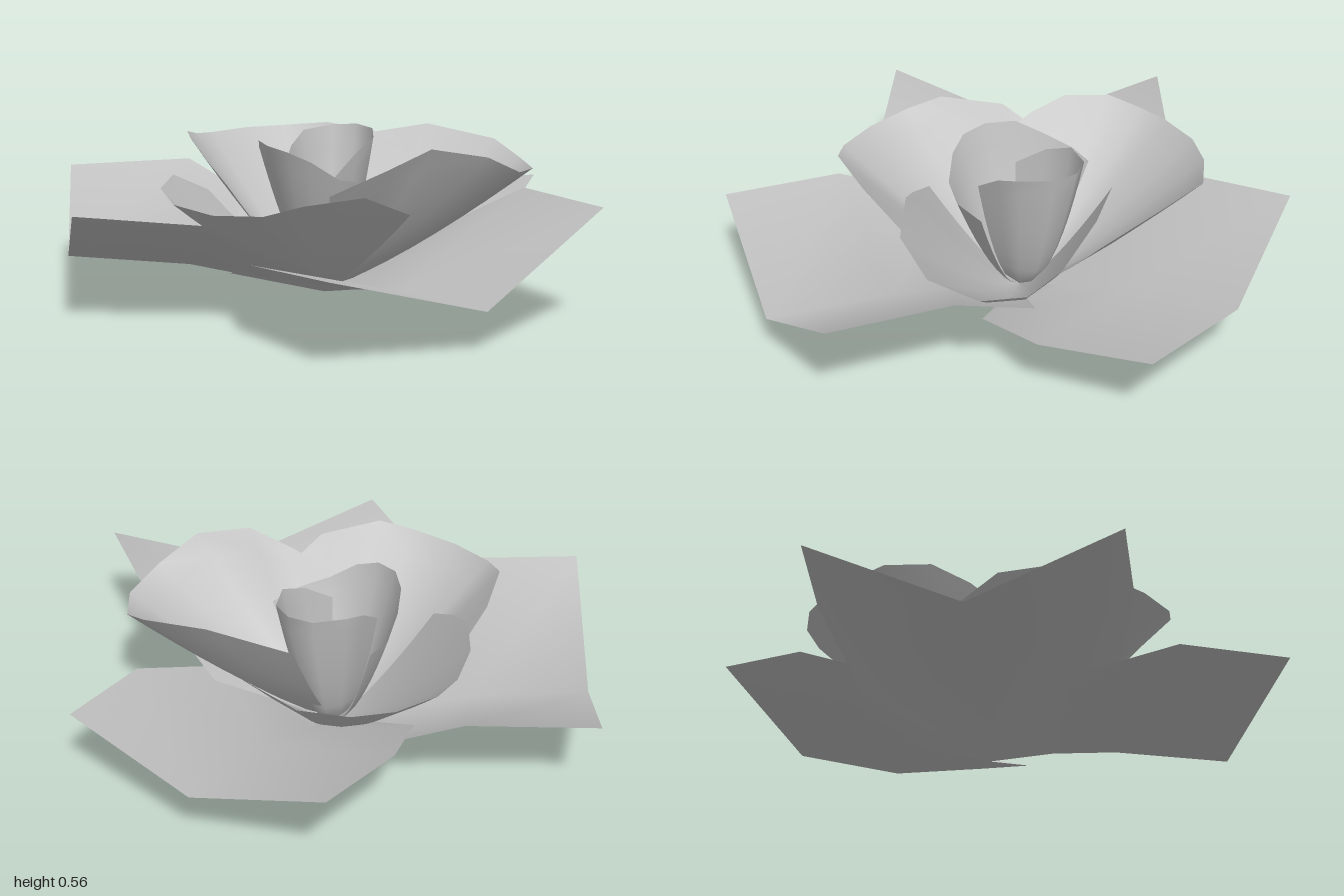
import * as THREE from 'three';

const BASE = [-0.01, 0.01, -0.03];

// Surface through rows of points, ordered so that the upper side faces up
function sheet(name, rows, material) {
  const cols = rows[0].length;
  const index = [];
  for (let r = 0; r < rows.length - 1; r++) {
    for (let c = 0; c < cols - 1; c++) {
      const a = r * cols + c, b = a + 1, d = a + cols, e = d + 1;
      if (r > 0) index.push(a, b, d);
      index.push(b, e, d);
    }
  }
  const g = new THREE.BufferGeometry();
  g.setAttribute('position', new THREE.Float32BufferAttribute(rows.flat(2), 3));
  g.setIndex(index);
  g.computeVertexNormals();
  const mesh = new THREE.Mesh(g, material);
  mesh.name = name;
  return mesh;
}

// Cupped petal: cross-sections swell from the base out to the rim
function petal(name, rim, material, spread = 0.87, rise = 1.1) {
  const rows = [];
  const steps = 8;
  for (let i = 0; i <= steps; i++) {
    const t = i / steps;
    const s = Math.pow(t, spread), h = Math.pow(t, rise);
    rows.push(rim.map(([x, y, z]) => [
      BASE[0] + (x - BASE[0]) * s,
      BASE[1] + (y - BASE[1]) * h,
      BASE[2] + (z - BASE[2]) * s,
    ]));
  }
  return sheet(name, rows, material);
}

// Broad outer leaf: three columns (edge, midrib, edge), pinched at the base
function sepal(name, rows, material) {
  const foot = [0, 0, 0].map(() => [0, 0, -0.03]);
  return sheet(name, [foot, ...rows], material);
}

// Completes a half rim, listed from the +x side to the middle
const mirrored = (half) => [
  ...half,
  ...half.slice(0, -1).reverse().map(([x, y, z]) => [-x, y, z]),
];

export function createModel() {
  const group = new THREE.Group();
  group.name = 'flower';
  const grey = new THREE.MeshStandardMaterial({ color: 0xc0c0c0, side: THREE.DoubleSide });
  grey.name = 'petalGrey';

  // Outer leaves
  group.add(sepal('leftSepal', [
    [[0.28, 0.20, -0.33], [0.2, 0.06, 0.08], [-0.115, 0.14, 0.38]],
    [[0.63, 0.39, -0.29], [0.42, 0.105, 0.18], [0.15, 0.265, 0.67]],
    [[1.0, 0.40, -0.09], [0.82, 0.14, 0.37], [0.54, 0.30, 0.84]],
  ], grey));
  group.add(sepal('rightSepal', [
    [[0.18, 0.17, 0.35], [-0.18, 0.06, 0.12], [-0.36, 0.20, -0.28]],
    [[-0.04, 0.36, 0.64], [-0.37, 0.11, 0.25], [-0.67, 0.38, -0.18]],
    [[-0.38, 0.395, 0.87], [-0.70, 0.15, 0.50], [-1.0, 0.37, 0.10]],
  ], grey));
  group.add(sepal('backSepal', [
    [[-0.40, 0.20, -0.09], [-0.03, 0.07, -0.2], [0.37, 0.14, -0.18]],
    [[-0.555, 0.33, -0.39], [-0.05, 0.16, -0.46], [0.48, 0.25, -0.5]],
    [[-0.58, 0.38, -0.75], [-0.11, 0.22, -0.86], [0.40, 0.31, -0.88]],
  ], grey));

  // Middle ring of cupped petals
  group.add(petal('frontPetal', mirrored([
    [0.40, 0.34, 0.09], [0.37, 0.44, 0.34], [0.27, 0.44, 0.55],
    [0.17, 0.41, 0.62], [0, 0.40, 0.65],
  ]), grey));
  group.add(petal('rightPetal', [
    [-0.22, 0.40, 0.24], [-0.34, 0.47, 0.19], [-0.45, 0.52, 0.12], [-0.55, 0.52, 0.0],
    [-0.59, 0.49, -0.12], [-0.59, 0.48, -0.22], [-0.54, 0.48, -0.37], [-0.45, 0.48, -0.48],
    [-0.31, 0.49, -0.57], [-0.10, 0.48, -0.55], [0.11, 0.39, -0.45],
  ], grey));
  group.add(petal('leftPetal', [
    [-0.10, 0.49, -0.35], [0.16, 0.54, -0.48], [0.40, 0.50, -0.53], [0.52, 0.45, -0.49],
    [0.62, 0.44, -0.38], [0.655, 0.46, -0.2], [0.61, 0.53, -0.05],
    [0.46, 0.56, 0.06], [0.34, 0.49, 0.14], [0.17, 0.40, 0.22],
  ], grey));

  // Inner cup, higher on its right side, and the rolled centre
  group.add(petal('innerCup', [
    [0.24, 0.41, -0.07], [0.22, 0.42, 0.05], [0.16, 0.44, 0.14], [0.08, 0.50, 0.19],
    [0, 0.53, 0.21], [-0.09, 0.54, 0.19], [-0.17, 0.54, 0.12], [-0.22, 0.50, 0.04],
    [-0.26, 0.46, -0.06], [-0.25, 0.44, -0.14],
  ], grey, 0.7));
  group.add(petal('rolledCentre', mirrored([
    [0.10, 0.42, 0.07], [0.13, 0.50, -0.04], [0.14, 0.54, -0.14],
    [0.08, 0.55, -0.24], [0, 0.555, -0.27],
  ]).reverse().map(([x, y, z]) => [x - 0.01, y, z]), grey, 0.5));

  return group;
}
